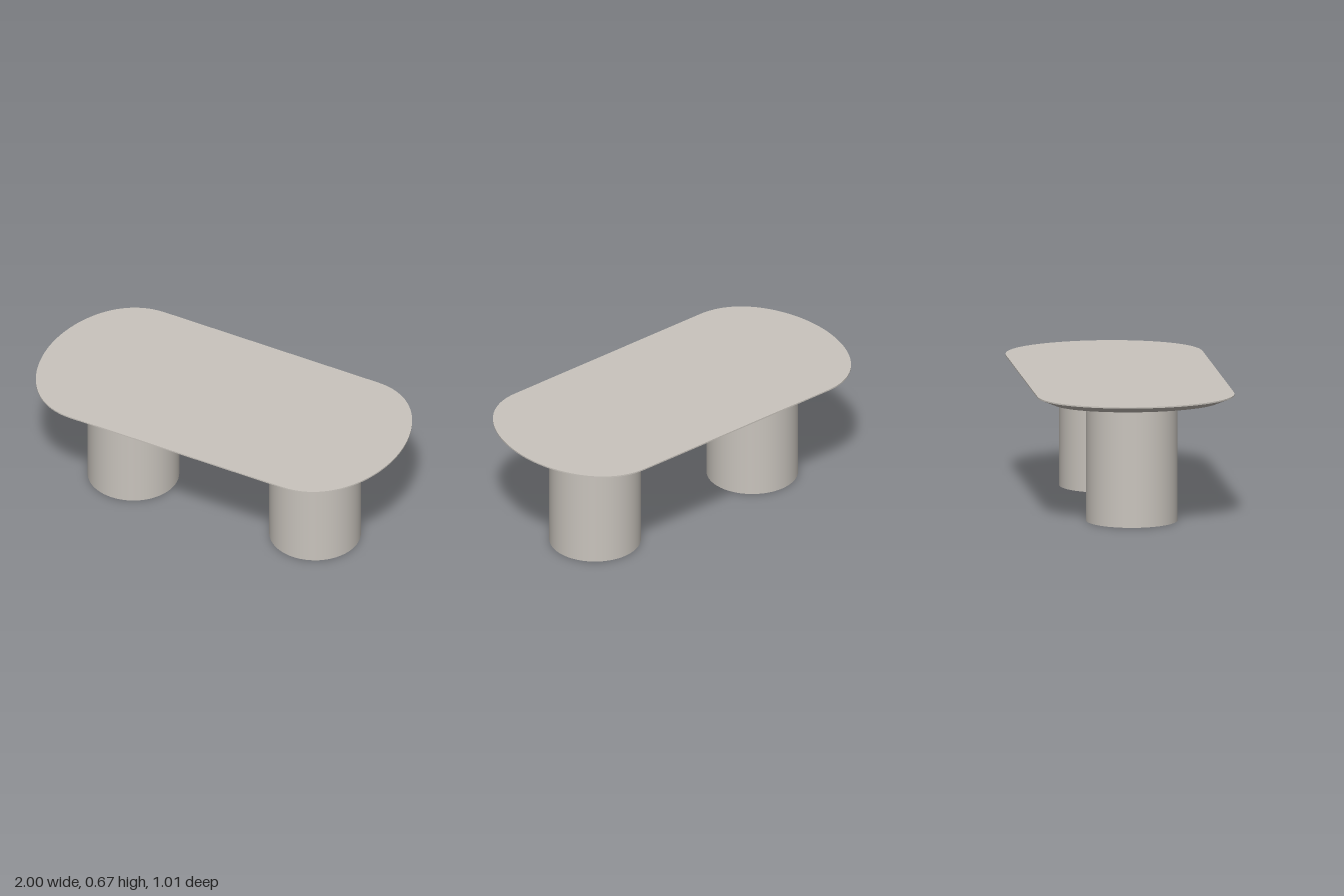
import * as THREE from 'three';
import { mergeGeometries } from 'three/addons/utils/BufferGeometryUtils.js';

const LEG_RADIUS = 0.234, UNDERSIDE = 0.625, RIM = 0.658, TOP = 0.665;

// Soft pill outline in plan: each point is (x, z), running from +x towards +z
function outline() {
  const shape = new THREE.Shape();
  shape.moveTo(1, 0);
  shape.bezierCurveTo(1, 0.24, 0.87, 0.505, 0.62, 0.505);
  shape.lineTo(-0.62, 0.505);
  shape.bezierCurveTo(-0.87, 0.505, -1, 0.24, -1, 0);
  shape.bezierCurveTo(-1, -0.24, -0.87, -0.505, -0.62, -0.505);
  shape.lineTo(0.62, -0.505);
  shape.bezierCurveTo(0.87, -0.505, 1, -0.24, 1, 0);
  return shape.getPoints(24).slice(0, -1);
}

// Move every point inward along its normal
function inset(points, distance) {
  const n = points.length;
  return points.map((p, i) => {
    const t = points[(i + 1) % n].clone().sub(points[(i + n - 1) % n]).normalize();
    return new THREE.Vector2(p.x - t.y * distance, p.y + t.x * distance);
  });
}

function build(vertices, index) {
  const geometry = new THREE.BufferGeometry();
  geometry.setAttribute('position', new THREE.Float32BufferAttribute(vertices, 3));
  geometry.setIndex(index);
  geometry.computeVertexNormals();
  return geometry;
}

const at = (points, y) => points.flatMap(p => [p.x, y, p.y]);

// Wall between an upper and a lower loop
function band(upper, yUpper, lower, yLower) {
  const n = upper.length, index = [];
  for (let i = 0; i < n; i++) {
    const j = (i + 1) % n;
    index.push(i, j, n + i, j, n + j, n + i);
  }
  return build([...at(upper, yUpper), ...at(lower, yLower)], index);
}

// Flat face filling a loop
function cap(points, y, facesUp) {
  const n = points.length, index = [];
  for (let i = 0; i < n; i++) {
    const j = (i + 1) % n;
    index.push(n, facesUp ? j : i, facesUp ? i : j);
  }
  return build([...at(points, y), 0, y, 0], index);
}

export function createModel() {
  const model = new THREE.Group();
  model.name = 'table';
  const stone = new THREE.MeshStandardMaterial({ color: 0xc9c4bd });
  stone.name = 'warm grey stone';

  // Tabletop: thin upright rim over a wide bevel
  const edge = outline();
  const lower = inset(edge, 0.078);
  const tabletop = new THREE.Mesh(mergeGeometries([
    cap(edge, TOP, true),
    band(edge, TOP, edge, RIM),
    band(edge, RIM, lower, UNDERSIDE),
    cap(lower, UNDERSIDE, false),
  ]), stone);
  tabletop.name = 'tabletop';
  model.add(tabletop);

  // Two round pedestal legs
  for (const [name, x] of [['leftLeg', 0.524], ['rightLeg', -0.531]]) {
    const leg = new THREE.Mesh(
      new THREE.CylinderGeometry(LEG_RADIUS, LEG_RADIUS, UNDERSIDE, 64), stone);
    leg.position.set(x, UNDERSIDE / 2, -0.009);
    leg.name = name;
    model.add(leg);
  }
  return model;
}
